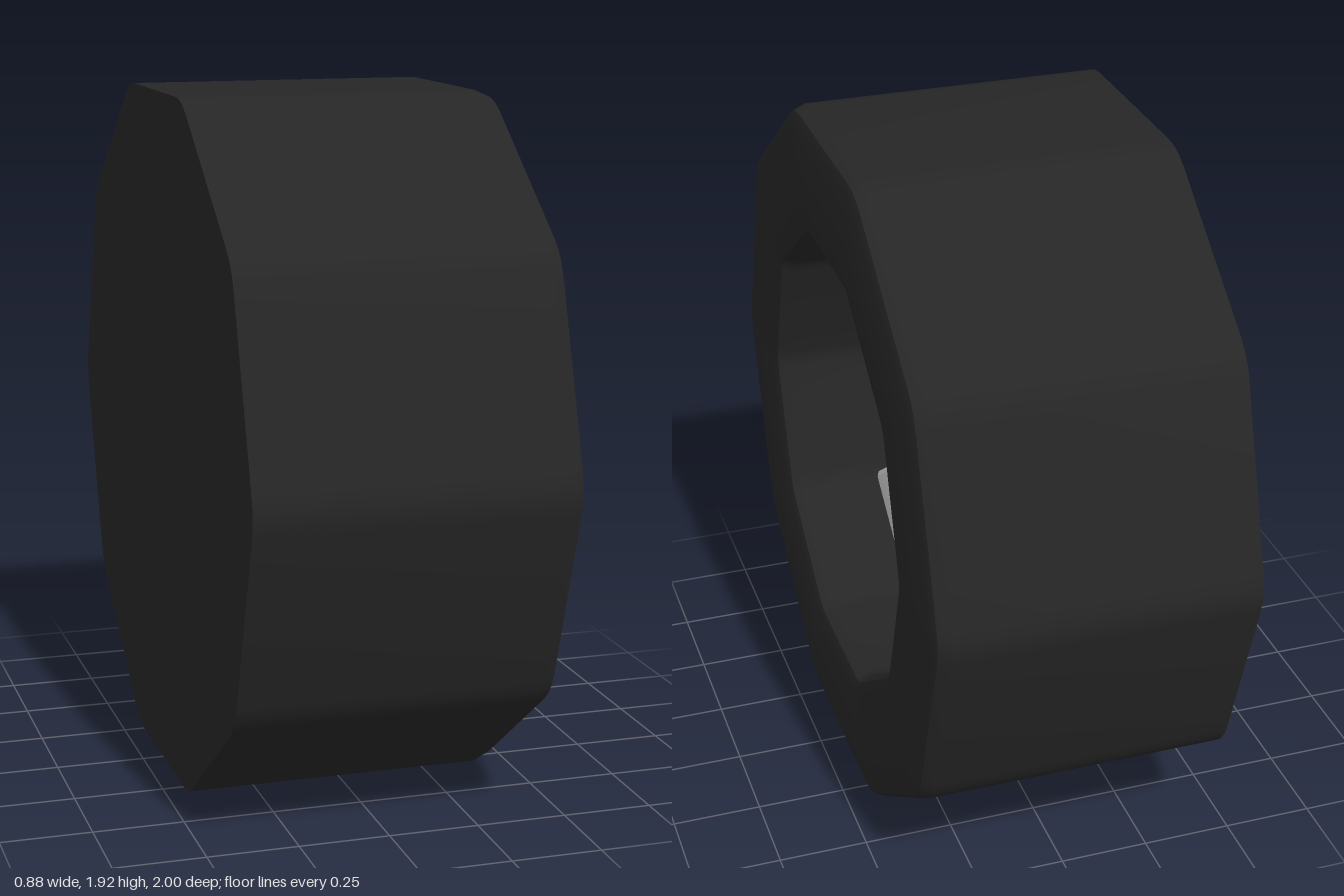
import * as THREE from 'three';
import { toCreasedNormals } from 'three/addons/utils/BufferGeometryUtils.js';

const SIDES = 10, STEPS = 3, CY = 0.96;

// Decagon outline in the z-y plane with softly rounded corners: list of [z, y]
function outline(apothem, cut) {
  const r = apothem / Math.cos(Math.PI / SIDES);
  const pts = [];
  for (let i = 0; i < SIDES; i++) {
    const a = (i / SIDES) * Math.PI * 2;
    const corner = new THREE.Vector2(r * Math.cos(a), r * Math.sin(a));
    const along = (sign) => {
      const b = a + (sign * Math.PI * 2) / SIDES;
      const dir = new THREE.Vector2(Math.cos(b) - Math.cos(a), Math.sin(b) - Math.sin(a)).normalize();
      return corner.clone().addScaledVector(dir, cut);
    };
    const curve = new THREE.QuadraticBezierCurve(along(-1), corner, along(1));
    pts.push(...curve.getPoints(STEPS));
  }
  return pts;
}

// Skin a row of decagon rings, each [x, apothem, corner cut]
function loft(rings, crease) {
  const pos = [], index = [];
  const n = SIDES * (STEPS + 1);
  rings.forEach(([x, apothem, cut], k) => {
    outline(apothem, cut).forEach((p, j) => {
      pos.push(x, p.y, p.x);
      if (k === rings.length - 1) return;
      const a = k * n + j, b = k * n + ((j + 1) % n);
      if (apothem > 0) index.push(a, a + n, b);
      if (rings[k + 1][1] > 0 || apothem > 0) index.push(b, a + n, b + n);
    });
  });
  const geo = new THREE.BufferGeometry();
  geo.setAttribute('position', new THREE.Float32BufferAttribute(pos, 3));
  geo.setIndex(index);
  return toCreasedNormals(geo, crease);
}

export function createModel() {
  const model = new THREE.Group();
  model.name = 'wheel';
  const rubber = new THREE.MeshStandardMaterial({ color: 0x262626 });
  const metal = new THREE.MeshStandardMaterial({ color: 0xcccccc });

  const add = (name, geo, mat, parent = model) => {
    const mesh = new THREE.Mesh(geo, mat);
    mesh.name = name;
    parent.add(mesh);
    return mesh;
  };

  // Tyre: closed flat back, rounded front shoulder, recessed well
  add('tyre', loft([
    [-0.44, 0, 0],
    [-0.44, 0.96, 0.06],
    [0.395, 0.96, 0.06],
    [0.43, 0.945, 0.06],
    [0.44, 0.915, 0.06],
    [0.44, 0.655, 0.035],
    [0.43, 0.625, 0.035],
    [0.395, 0.61, 0.035],
    [-0.04, 0.61, 0.035],
    [-0.04, 0, 0],
  ], 0.6), rubber).position.y = CY;

  // Hub: small bevelled decagon boss
  add('hub', loft([
    [-0.05, 0.2, 0.02],
    [0.13, 0.195, 0.02],
    [0.165, 0.185, 0.02],
    [0.19, 0.16, 0.015],
    [0.19, 0, 0],
  ], 0.5), metal).position.y = CY;

  // Spokes: five flared wedges with bevelled edges
  const tan = Math.tan(Math.PI / SIDES);
  const inner = 0.13, outer = 0.615, pad = 0.012;
  const wedge = new THREE.Shape([
    new THREE.Vector2(-inner * tan - pad, inner),
    new THREE.Vector2(inner * tan + pad, inner),
    new THREE.Vector2(outer * tan + pad, outer),
    new THREE.Vector2(-outer * tan - pad, outer),
  ]);
  const spokeGeo = toCreasedNormals(new THREE.ExtrudeGeometry(wedge, {
    depth: 0.19, bevelThickness: 0.04, bevelSize: 0.03, bevelOffset: -0.03, bevelSegments: 2,
  }), 0.6);
  spokeGeo.translate(0, 0, -0.06).rotateY(Math.PI / 2);

  const spokes = new THREE.Group();
  spokes.name = 'spokes';
  spokes.position.y = CY;
  for (let i = 0; i < 5; i++) {
    add('spoke', spokeGeo, metal, spokes).rotation.x = (i / 5) * Math.PI * 2;
  }
  model.add(spokes);

  return model;
}
